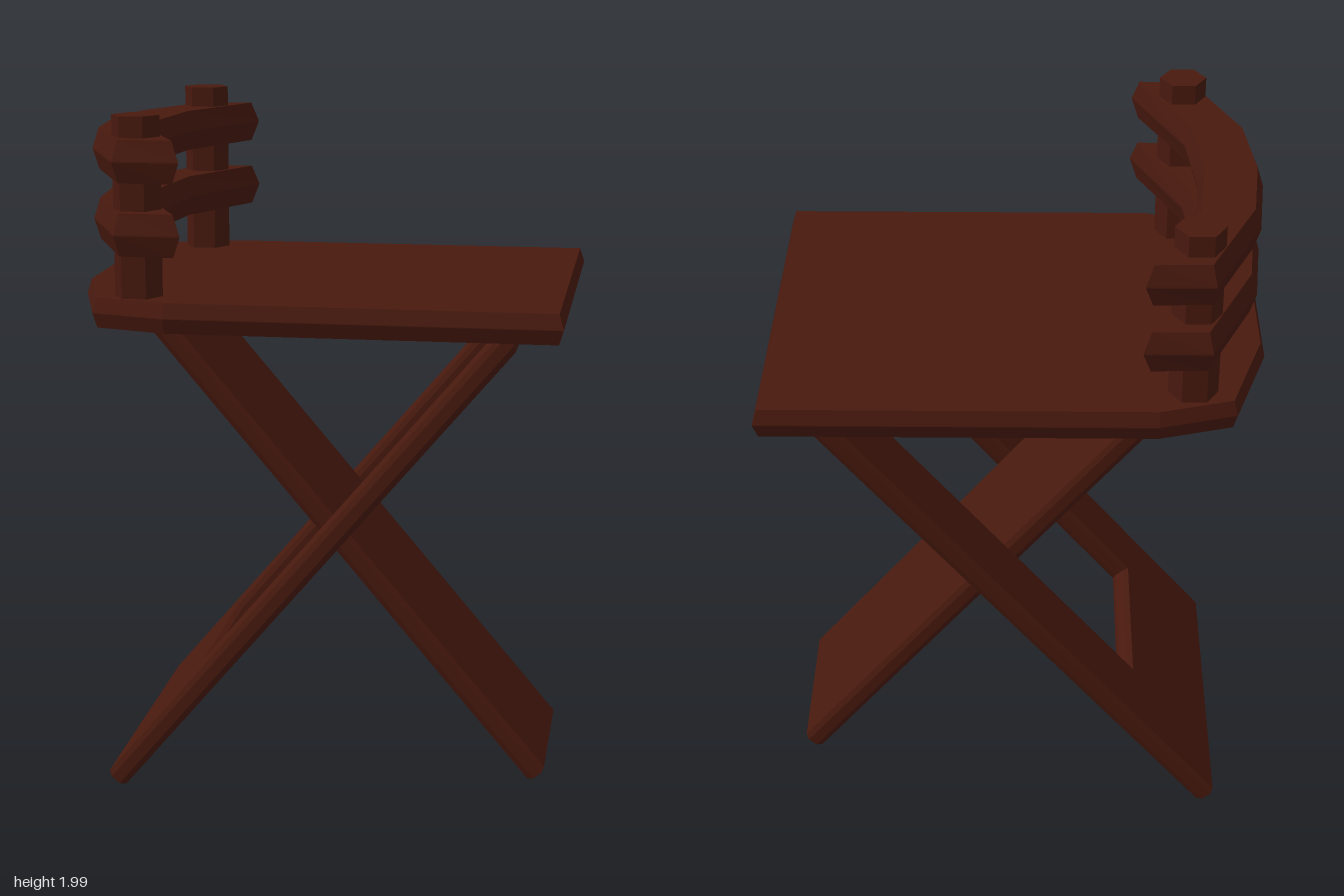
import * as THREE from 'three';

const wood = new THREE.MeshStandardMaterial({ color: 0x48190e, flatShading: true });

// Flat board with chamfered edges; the outline is its widest contour.
function board(points, thickness, chamferDepth, chamferInset) {
  const shape = new THREE.Shape(points.map(([x, y]) => new THREE.Vector2(x, y)));
  const depth = thickness - 2 * chamferDepth;
  const geometry = new THREE.ExtrudeGeometry(shape, {
    depth,
    bevelEnabled: true,
    bevelSegments: 1,
    bevelThickness: chamferDepth,
    bevelSize: chamferInset,
    bevelOffset: -chamferInset,
  });
  return geometry.translate(0, 0, -depth / 2);
}

// Full outline from its z >= 0 half, given as [x, z] points.
const mirrorZ = (half) => [
  ...half,
  ...half.filter(([, z]) => z > 0).reverse().map(([x, z]) => [x, -z]),
];

function add(group, name, geometry) {
  const mesh = new THREE.Mesh(geometry, wood);
  mesh.name = name;
  group.add(mesh);
  return mesh;
}

// Stands a board (outline x across, y along) between two points in the xy plane.
function addLeg(group, name, points, bottom, top) {
  const along = new THREE.Vector3(top[0] - bottom[0], top[1] - bottom[1], 0).normalize();
  const across = new THREE.Vector3(0, 0, 1);
  const normal = new THREE.Vector3().crossVectors(across, along);
  const geometry = board(points, 0.064, 0.016, 0.008);
  geometry.applyMatrix4(new THREE.Matrix4().makeBasis(across, along, normal));
  add(group, name, geometry).position.set(bottom[0], bottom[1], 0);
}

export function createModel() {
  const chair = new THREE.Group();
  chair.name = 'chair';

  // Seat with a rounded back edge
  const seatOutline = mirrorZ([[0.71, 0.597], [-0.4, 0.597], [-0.615, 0.533], [-0.713, 0.215]]);
  const seat = board(seatOutline, 0.086, 0.042, 0.013).rotateX(Math.PI / 2);
  add(chair, 'seat', seat).position.y = 1.448;

  // Crossed legs: a plain plank through a forked board
  const length = Math.hypot(1.15, 1.363);
  addLeg(chair, 'plankLeg',
    [[-0.25, 0], [0.25, 0], [0.25, length], [-0.25, length]],
    [0.645, 0.022], [-0.505, 1.385]);
  addLeg(chair, 'forkedLeg',
    [[-0.49, 0], [0.472, 0], [0.472, length], [0.255, length],
      [0.255, 0.4], [-0.258, 0.4], [-0.258, length], [-0.49, length]],
    [-0.597, 0.022], [0.553, 1.385]);

  // Hexagonal back posts
  for (const side of [1, -1]) {
    const post = new THREE.CylinderGeometry(0.069, 0.069, 0.55, 6).rotateY(Math.PI / 2);
    const name = side > 0 ? 'leftBackPost' : 'rightBackPost';
    add(chair, name, post).position.set(-0.494, 1.725, side * 0.474);
  }

  // Curved back slats
  const slatOutline = mirrorZ([
    [-0.515, 0], [-0.492, 0.26], [-0.348, 0.592],
    [-0.535, 0.592], [-0.675, 0.26], [-0.7, 0],
  ]);
  [['lowerBackSlat', 1.677], ['upperBackSlat', 1.88]].forEach(([name, y]) => {
    const slat = board(slatOutline, 0.12, 0.058, 0.018).rotateX(Math.PI / 2);
    add(chair, name, slat).position.y = y;
  });

  return chair;
}
